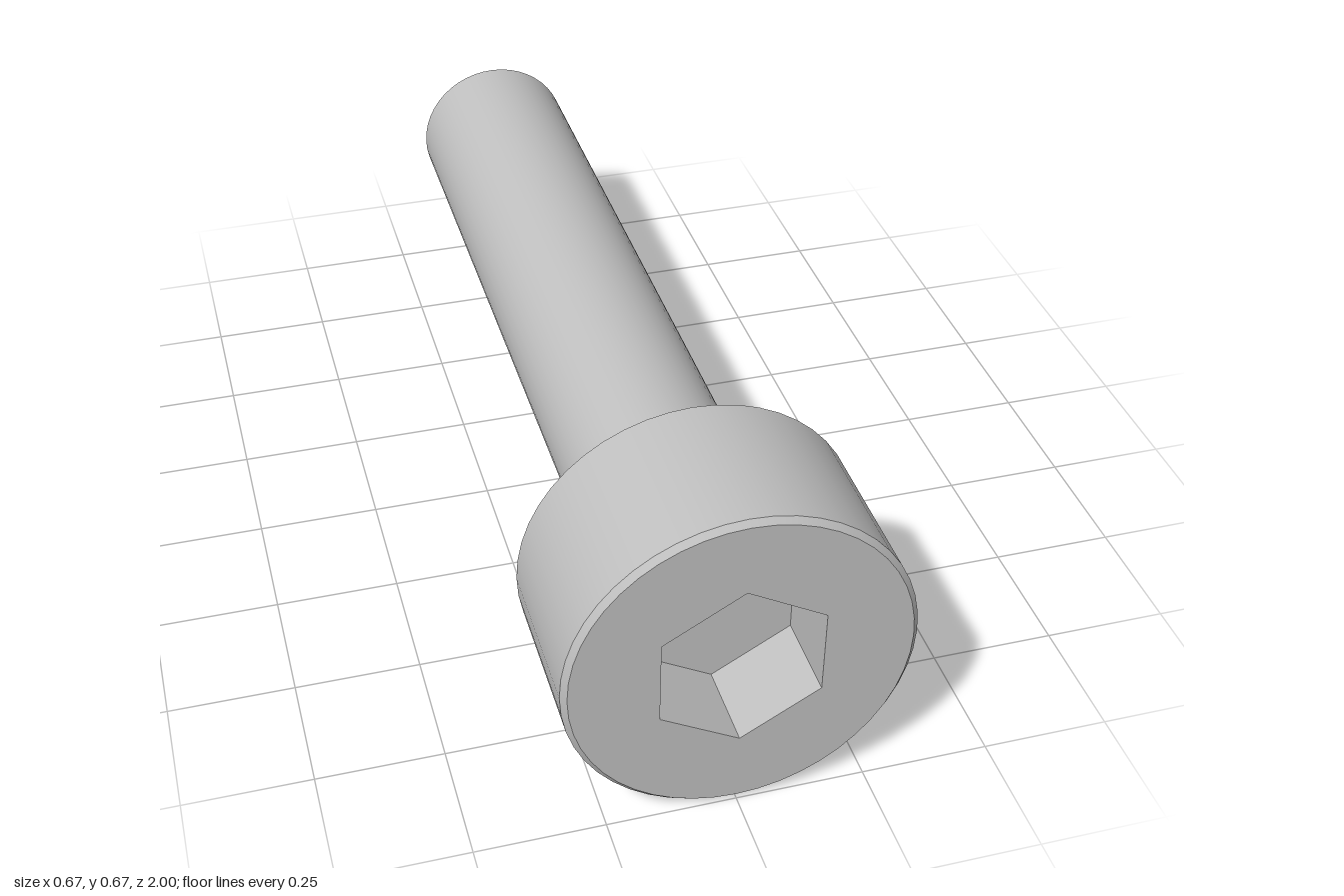
import * as THREE from 'three';
import { mergeGeometries } from 'three/addons/utils/BufferGeometryUtils.js';

const SIDES = 48;
const HEAD_R = 0.333, SHANK_R = 0.175, SOCKET_R = 0.176;
const CHAMFER = 0.011;
const FRONT = 1, HEAD_BACK = 0.655, SOCKET_FLOOR = 0.83, TIP = -1;

// Turned surface along z from [radius, z] points, with a sharp edge at every point
function turned(profile, sides = SIDES) {
  const bands = [];
  for (let i = 0; i < profile.length - 1; i++) {
    const pair = [profile[i], profile[i + 1]].map(([r, z]) => new THREE.Vector2(r, z));
    bands.push(new THREE.LatheGeometry(pair, sides));
  }
  return mergeGeometries(bands).rotateX(Math.PI / 2);
}

// Points of a regular polygon with a corner at the bottom
function polygon(radius, sides) {
  return Array.from({ length: sides }, (_, i) => {
    const a = (i / sides) * Math.PI * 2 - Math.PI / 2;
    return new THREE.Vector2(Math.cos(a) * radius, Math.sin(a) * radius);
  });
}

export function createModel() {
  const steel = new THREE.MeshStandardMaterial({ color: 0xc0c0c0 });
  steel.name = 'steel grey';

  const model = new THREE.Group();
  model.name = 'socketHeadScrew';
  const add = (name, geometry) => {
    const mesh = new THREE.Mesh(geometry, steel);
    mesh.name = name;
    mesh.position.y = HEAD_R;
    model.add(mesh);
  };

  // Head: underside, chamfers and rim
  add('head', turned([
    [SHANK_R, HEAD_BACK],
    [HEAD_R - CHAMFER, HEAD_BACK],
    [HEAD_R, HEAD_BACK + CHAMFER],
    [HEAD_R, FRONT - CHAMFER],
    [HEAD_R - CHAMFER, FRONT],
  ]));

  // Front face with the hexagonal opening
  const face = new THREE.Shape(polygon(HEAD_R - CHAMFER, SIDES));
  face.holes.push(new THREE.Path(polygon(SOCKET_R, 6).reverse()));
  add('headFace', new THREE.ShapeGeometry(face).translate(0, 0, FRONT));

  // Hexagonal socket: six flat walls and a floor, facing inward
  const socket = turned([
    [SOCKET_R, FRONT],
    [SOCKET_R, SOCKET_FLOOR],
    [0, SOCKET_FLOOR],
  ], 6).toNonIndexed();
  socket.computeVertexNormals();
  add('hexSocket', socket);

  // Shank with a chamfered tip
  add('shank', turned([
    [0, TIP],
    [SHANK_R - CHAMFER, TIP],
    [SHANK_R, TIP + CHAMFER],
    [SHANK_R, HEAD_BACK],
  ]));

  return model;
}
